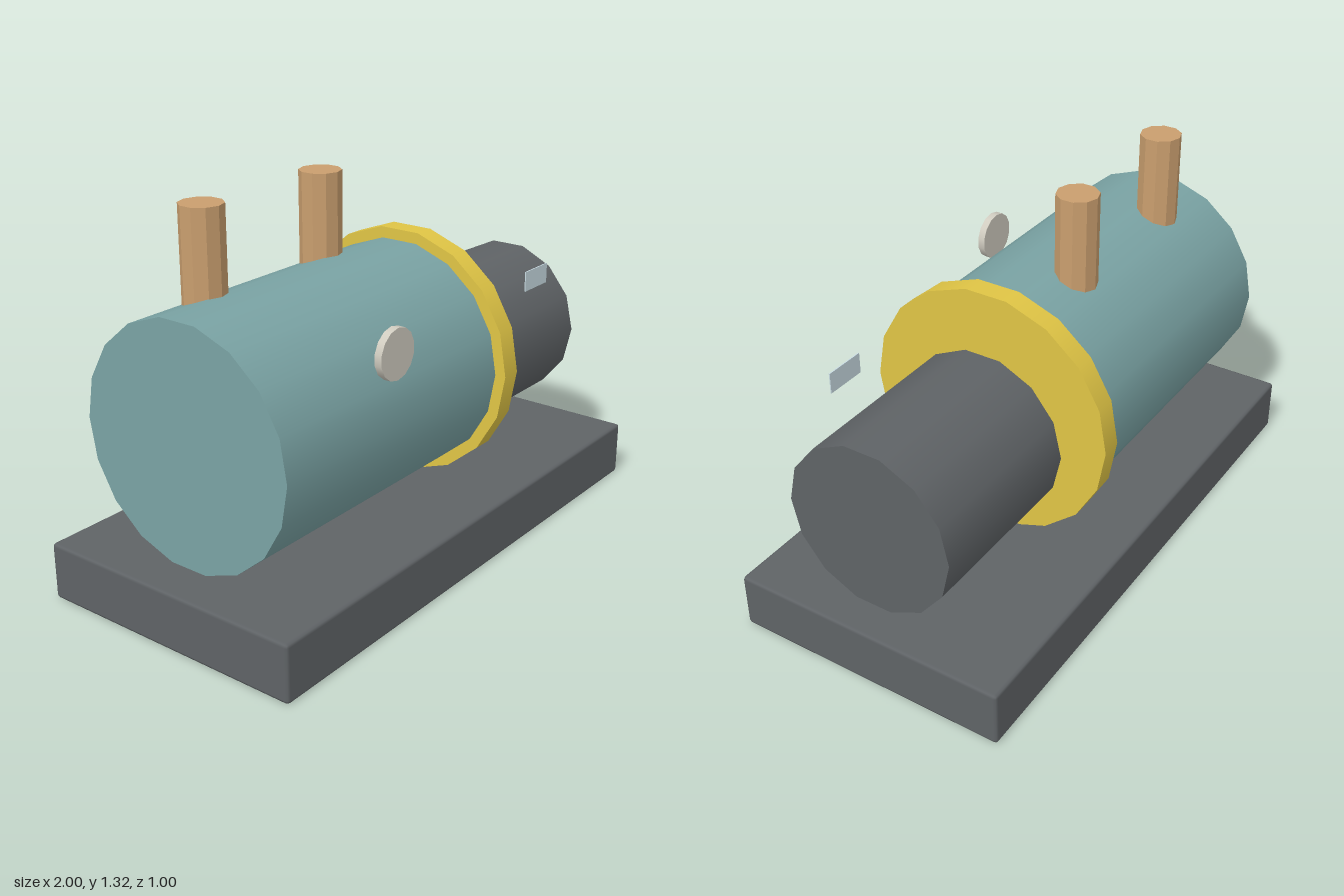
import * as THREE from 'three';
import { RoundedBoxGeometry } from 'three/addons/geometries/RoundedBoxGeometry.js';

const material = (color, flatShading = false) => new THREE.MeshStandardMaterial({ color, flatShading });

export function createModel() {
  const model = new THREE.Group();
  model.name = 'pumpUnit';

  const grey = material(0x5f6366);
  const teal = material(0x7aa3a4);
  const yellow = material(0xe0c545);
  const copper = material(0xc99e6e, true);
  const ivory = material(0xd0ccc0);
  const paleBlue = material(0xc8dbe2);

  function add(name, geometry, mat, x, y, z) {
    const mesh = new THREE.Mesh(geometry, mat);
    mesh.name = name;
    mesh.position.set(x, y, z);
    model.add(mesh);
    return mesh;
  }

  // Cylinder lying along x, from x0 to x1
  function addDrum(name, radius, sides, x0, x1, y, mat) {
    const geometry = new THREE.CylinderGeometry(radius, radius, x1 - x0, sides).rotateZ(Math.PI / 2);
    add(name, geometry, mat, (x0 + x1) / 2, y, 0);
  }

  // Base slab with slightly chamfered edges
  add('base', new RoundedBoxGeometry(2, 0.2, 1, 1, 0.012), grey, 0, 0.1, 0);

  // Tank, end flange and motor
  addDrum('tank', 0.41, 18, -0.88, 0.21, 0.627, teal);
  addDrum('flange', 0.45, 18, 0.21, 0.285, 0.627, yellow);
  addDrum('motor', 0.3, 14, 0.31, 0.935, 0.567, grey);

  // Two pipes rising from the tank, behind its centre line
  for (const [name, x] of [['rightPipe', -0.63], ['leftPipe', -0.065]]) {
    add(name, new THREE.CylinderGeometry(0.073, 0.073, 0.36, 10), copper, x, 1.135, -0.126);
  }

  // Round gauge on the front of the tank
  const gauge = new THREE.CylinderGeometry(0.085, 0.085, 0.026, 14).rotateX(Math.PI / 2);
  add('gauge', gauge, ivory, -0.38, 0.88, 0.415);

  // Thin plate beside the motor
  add('motorPlate', new THREE.BoxGeometry(0.146, 0.073, 0.004), paleBlue, 0.622, 0.856, 0.312);

  return model;
}
